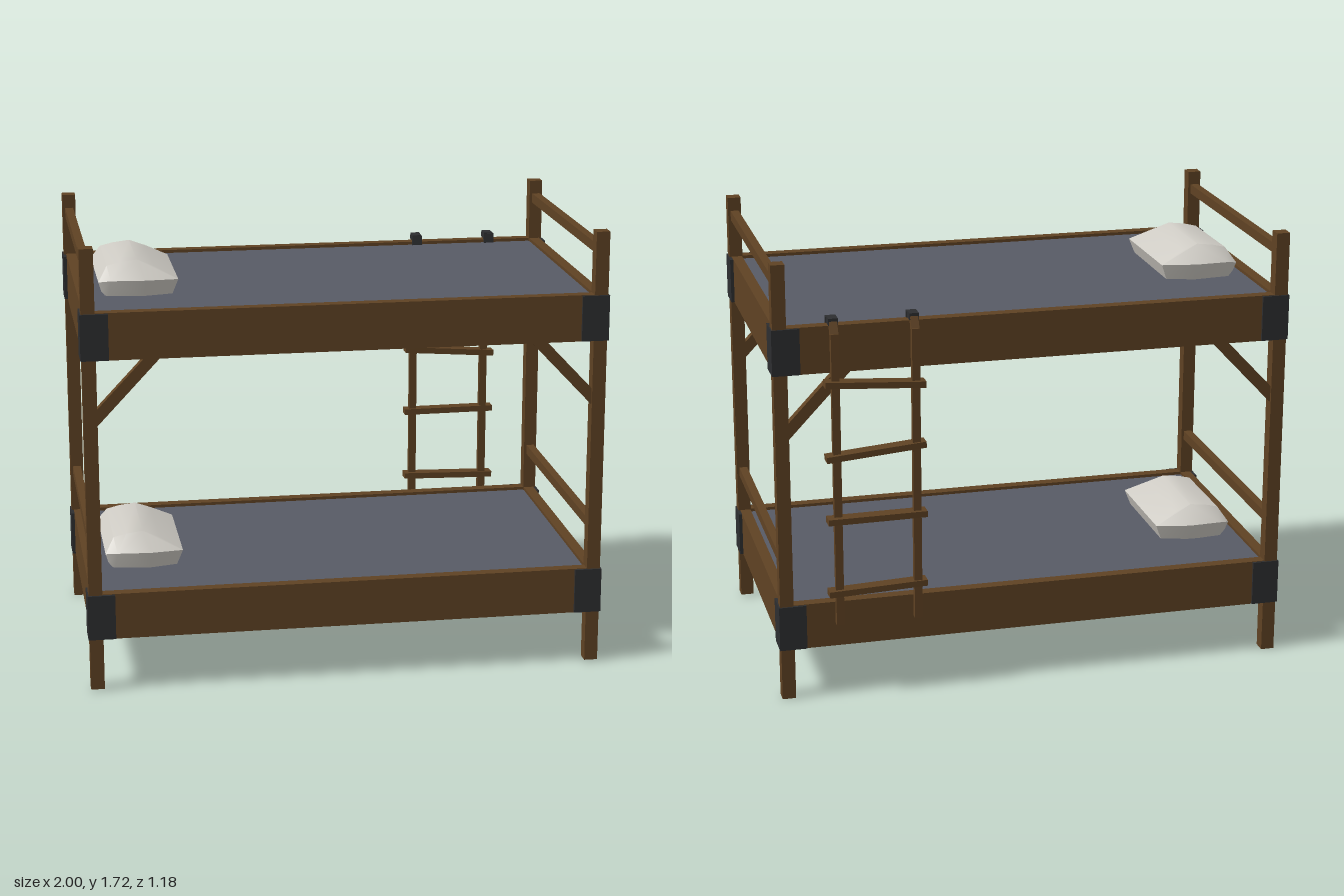
import * as THREE from 'three';
import { toCreasedNormals } from 'three/addons/utils/BufferGeometryUtils.js';
import { ConvexGeometry } from 'three/addons/geometries/ConvexGeometry.js';

const material = (name, color) => {
  const m = new THREE.MeshStandardMaterial({ color });
  m.name = name;
  return m;
};

export function createModel() {
  const wood = material('wood', 0x5f4223);
  const iron = material('dark iron', 0x2d2e30);
  const cloth = material('mattress cloth', 0x585b66);
  const linen = material('pillow linen', 0xcfccc5);

  const model = new THREE.Group();
  model.name = 'bunkBed';

  const add = (parent, name, geometry, mat) => {
    const mesh = new THREE.Mesh(geometry, mat);
    mesh.name = name;
    parent.add(mesh);
    return mesh;
  };

  // Box given by its lower and upper limits on each axis
  const block = (parent, name, mat, [x0, x1], [y0, y1], [z0, z1]) => {
    const mesh = add(parent, name, new THREE.BoxGeometry(x1 - x0, y1 - y0, z1 - z0), mat);
    mesh.position.set((x0 + x1) / 2, (y0 + y1) / 2, (z0 + z1) / 2);
    return mesh;
  };

  // Straight bar between two points
  const bar = (parent, name, mat, from, to, width, depth) => {
    const a = new THREE.Vector3(...from), b = new THREE.Vector3(...to);
    const dir = b.clone().sub(a);
    const mesh = add(parent, name, new THREE.BoxGeometry(width, dir.length(), depth), mat);
    mesh.position.copy(a).add(b).multiplyScalar(0.5);
    mesh.quaternion.setFromUnitVectors(new THREE.Vector3(0, 1, 0), dir.normalize());
    return mesh;
  };

  // The frame leans back very slightly
  const frame = new THREE.Group();
  frame.name = 'frame';
  frame.rotation.x = -0.007;
  model.add(frame);
  const zFront = 0.56, zBack = -0.503;

  // Corner posts and the diagonal braces under the upper bunk
  for (const side of [-1, 1]) {
    for (const z of [zFront, zBack]) {
      const x = side * 0.969;
      block(frame, 'post', wood, [x - 0.026, x + 0.026], [0.004, 1.72], [z - 0.026, z + 0.026]);
      bar(frame, 'brace', wood, [side * 0.965, 1.055, z], [side * 0.715, 1.32, z], 0.044, 0.034);
    }
    // End rails above each bunk
    for (const y of [0.555, 1.648]) {
      const x = side * 0.969;
      block(frame, 'endRail', wood, [x - 0.016, x + 0.016], [y - 0.019, y + 0.019], [zBack, zFront]);
    }
  }

  // Two bunks: side boards, end boards, base panel, mattress and corner brackets
  for (const y of [0.205, 1.298]) {
    const bunk = new THREE.Group();
    bunk.name = y < 1 ? 'lowerBunk' : 'upperBunk';
    frame.add(bunk);
    const height = [y, y + 0.18];
    block(bunk, 'frontBoard', wood, [-0.985, 0.985], height, [0.54, 0.583]);
    block(bunk, 'backBoard', wood, [-0.985, 0.985], height, [-0.525, -0.482]);
    for (const side of [-1, 1]) {
      const x = side * 0.966;
      block(bunk, 'endBoard', wood, [x - 0.021, x + 0.021], height, [-0.5, 0.56]);
    }
    block(bunk, 'basePanel', wood, [-0.955, 0.955], [y + 0.006, y + 0.05], [-0.49, 0.55]);
    block(bunk, 'mattress', cloth, [-0.946, 0.946], [y + 0.05, y + 0.168], [-0.483, 0.541]);

    // Each bracket is two plates meeting at the outer corner
    for (const side of [-1, 1]) {
      for (const [out, dir] of [[0.593, 1], [-0.534, -1]]) {
        const span = (a, b) => [Math.min(a, b), Math.max(a, b)];
        const h = [y + 0.002, y + 0.178];
        block(bunk, 'bracketLong', iron, span(side * 0.895, side), h, span(out, out - dir * 0.015));
        block(bunk, 'bracketEnd', iron, span(side * 0.98, side), h, span(out, out - dir * 0.105));
      }
    }
  }

  // Pillows: each row is x, y, front z, back z of a rounded cushion
  const rows = [
    [-0.905, 1.52, 0.24, -0.2], [-0.86, 1.53, 0.27, -0.225], [-0.73, 1.53, 0.28, -0.232],
    [-0.602, 1.525, 0.25, -0.19], [-0.87, 1.575, 0.2, -0.16], [-0.82, 1.587, 0.2, -0.16],
    [-0.755, 1.595, 0.2, -0.16], [-0.69, 1.57, 0.21, -0.165],
    [-0.895, 1.485, 0.235, -0.19], [-0.73, 1.465, 0.265, -0.21], [-0.625, 1.465, 0.24, -0.18],
    [-0.87, 1.455, 0.24, -0.19],
  ];
  const points = rows.flatMap(([x, y, f, b]) => [new THREE.Vector3(x, y, f), new THREE.Vector3(x, y, b)]);
  const pillowShape = toCreasedNormals(new ConvexGeometry(points), 0.6);
  for (const drop of [0, 1.09]) add(model, 'pillow', pillowShape, linen).position.y = -drop;

  // Ladder hooked over the back board
  const ladder = new THREE.Group();
  ladder.name = 'ladder';
  model.add(ladder);
  for (const x of [0.467, 0.77]) {
    bar(ladder, 'ladderRail', wood, [x, 0.3, -0.554], [x, 1.45, -0.559], 0.03, 0.026);
    bar(ladder, 'ladderBend', wood, [x, 1.435, -0.56], [x, 1.495, -0.53], 0.03, 0.024);
    bar(ladder, 'hookTop', iron, [x, 1.49, -0.545], [x, 1.49, -0.492], 0.036, 0.026);
    bar(ladder, 'hookTip', iron, [x, 1.5, -0.493], [x, 1.455, -0.487], 0.04, 0.018);
  }

  // Uneven rungs: left end height, right end height, centre z
  for (const [y0, y1, z] of [[1.236, 1.262, -0.562], [1.0, 0.97, -0.557], [0.725, 0.725, -0.562], [0.443, 0.431, -0.553]]) {
    bar(ladder, 'rung', wood, [0.432, y0, z + 0.004], [0.812, y1, z - 0.004], 0.024, 0.05);
  }
  return model;
}
